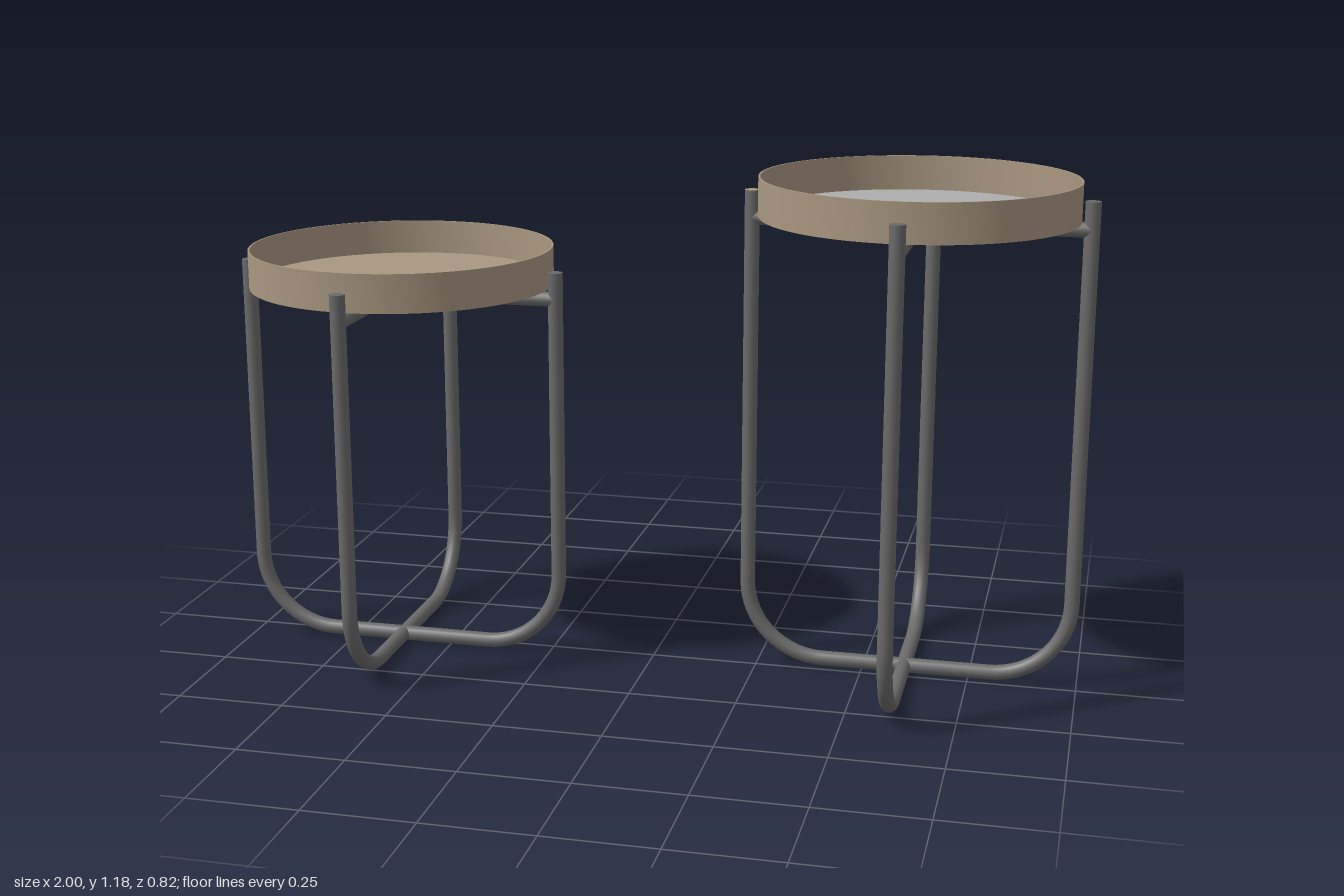
import * as THREE from 'three';
import { toCreasedNormals } from 'three/addons/utils/BufferGeometryUtils.js';

const TUBE = 0.0175;   // tube radius
const HALF = 0.379;    // leg axis to frame centre
const BEND = 0.182;    // bend radius of the tube axis
const BASE = 0.02;     // height of the floor tube axis
const TRAY_R = 0.357;
const TRAY_H = 0.089;
const WALL = 0.004;
const FLOOR = 0.008;

const material = (name, color, side = THREE.FrontSide) =>
  Object.assign(new THREE.MeshStandardMaterial({ color, side }), { name });

const tan = material('tan metal', 0xa99780);
const grey = material('grey top', 0xadadad);
const steel = material('dark steel', 0x6a6a6a);

function mesh(name, geometry, mat, parent) {
  const m = new THREE.Mesh(geometry, mat);
  m.name = name;
  parent.add(m);
  return m;
}

// Bent U-shaped tube with closed ends and a crossbar, lying in the x-y plane
function uFrame(name, top, barY, startCapMaterial) {
  const frame = new THREE.Group();
  frame.name = name;
  const v = (x, y) => new THREE.Vector3(x, y, 0);
  const k = BEND * (1 - 0.5523);
  const inner = HALF - BEND;
  const path = new THREE.CurvePath();
  path.add(new THREE.LineCurve3(v(-HALF, top), v(-HALF, BASE + BEND)));
  path.add(new THREE.CubicBezierCurve3(v(-HALF, BASE + BEND), v(-HALF, BASE + k), v(-HALF + k, BASE), v(-inner, BASE)));
  path.add(new THREE.LineCurve3(v(-inner, BASE), v(inner, BASE)));
  path.add(new THREE.CubicBezierCurve3(v(inner, BASE), v(HALF - k, BASE), v(HALF, BASE + k), v(HALF, BASE + BEND)));
  path.add(new THREE.LineCurve3(v(HALF, BASE + BEND), v(HALF, top)));
  mesh('legTube', new THREE.TubeGeometry(path, 160, TUBE, 16), steel, frame);

  // Leg end caps
  for (const side of [-1, 1]) {
    const cap = mesh('legCap', new THREE.CircleGeometry(TUBE, 16), side < 0 ? startCapMaterial : steel, frame);
    cap.rotation.x = -Math.PI / 2;
    cap.position.set(side * HALF, top, 0);
  }

  // Crossbar under the tray
  const bar = mesh('crossbar', new THREE.CylinderGeometry(TUBE, TUBE, 2 * HALF, 16), steel, frame);
  bar.rotation.z = Math.PI / 2;
  bar.position.y = barY;
  return frame;
}

// Thin-walled round tray with its floor disc
function tray(floorMaterial) {
  const group = new THREE.Group();
  group.name = 'tray';
  const inside = TRAY_R - WALL;
  const profile = [[0, 0], [TRAY_R, 0], [TRAY_R, TRAY_H], [inside, TRAY_H], [inside, FLOOR]]
    .map(([x, y]) => new THREE.Vector2(x, y));
  mesh('trayShell', toCreasedNormals(new THREE.LatheGeometry(profile, 72), 0.6), tan, group);
  const floor = mesh('trayFloor', new THREE.CircleGeometry(inside, 72), floorMaterial, group);
  floor.rotation.x = -Math.PI / 2;
  floor.position.y = FLOOR;
  return group;
}

// Side table: two crossed frames carrying a tray
function table({ name, trayY, trayAt, sideAt, deepAt, floorMaterial, startCapMaterial }) {
  const group = new THREE.Group();
  group.name = name;
  const top = trayY + 0.046, barY = trayY - TUBE;

  const sideFrame = uFrame('sideFrame', top, barY, startCapMaterial);
  sideFrame.position.set(sideAt[0], 0, sideAt[1]);

  const deepFrame = uFrame('deepFrame', top, barY, startCapMaterial);
  deepFrame.rotation.y = -Math.PI / 2;
  deepFrame.position.set(deepAt[0], 0, deepAt[1]);

  const t = tray(floorMaterial);
  t.position.set(trayAt[0], trayY, trayAt[1]);
  group.add(sideFrame, deepFrame, t);
  return group;
}

export function createModel() {
  const model = new THREE.Group();
  model.name = 'sideTables';
  model.add(
    table({
      name: 'lowTable', trayY: 0.891,
      trayAt: [-0.607, 0.011], sideAt: [-0.604, 0.037], deepAt: [-0.621, 0.012],
      floorMaterial: tan, startCapMaterial: steel,
    }),
    table({
      name: 'tallTable', trayY: 1.09,
      trayAt: [0.602, -0.012], sideAt: [0.602, -0.029], deepAt: [0.6, -0.011],
      floorMaterial: grey, startCapMaterial: tan,
    }),
  );
  return model;
}
